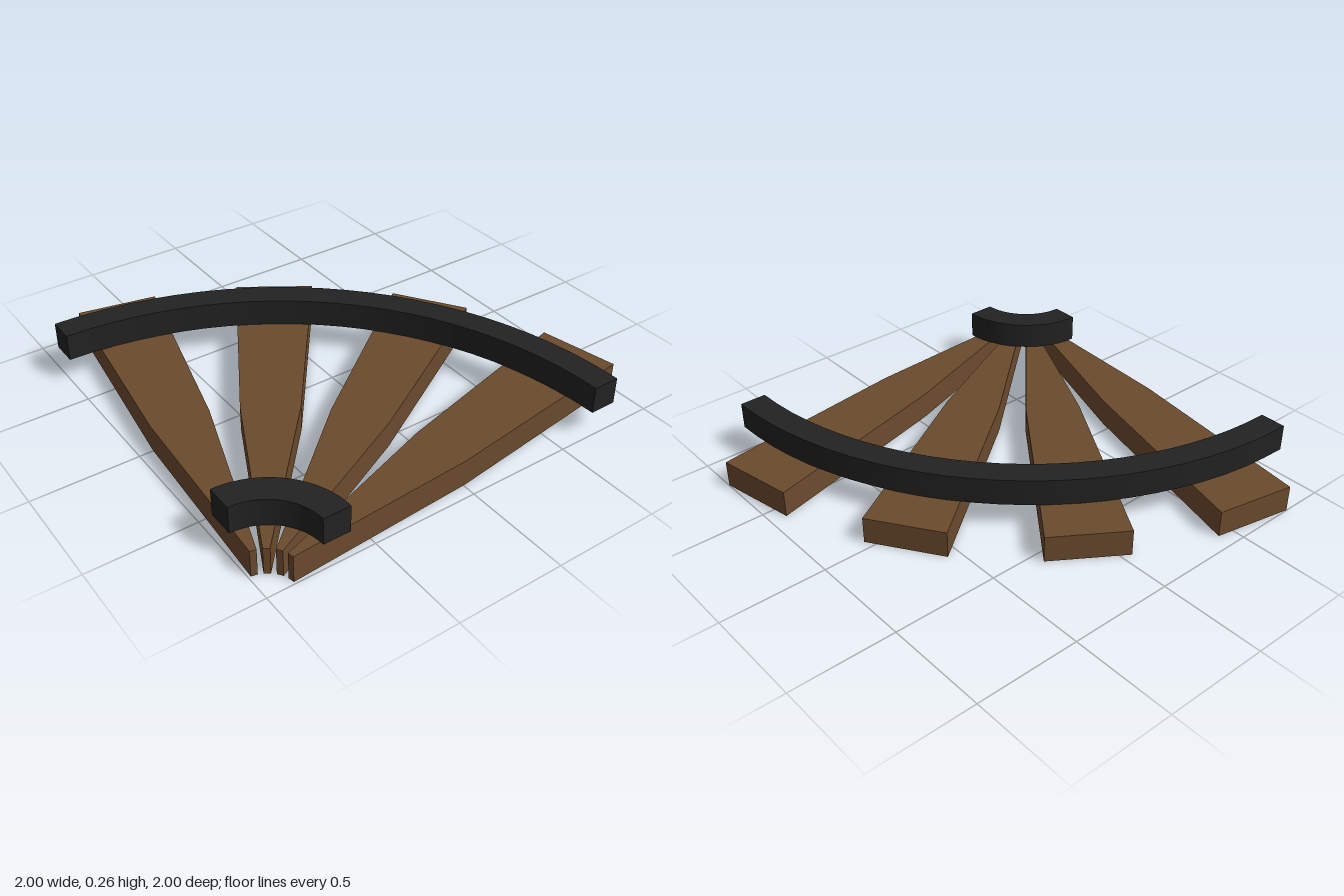
import * as THREE from 'three';

const H = 0.128; // thickness of every layer

// Extrude a plan outline upward from y = 0 (shape y runs towards -z)
function slab(shape) {
  const geo = new THREE.ExtrudeGeometry(shape, { depth: H, bevelEnabled: false, curveSegments: 12 });
  return geo.rotateX(-Math.PI / 2);
}

export function createModel() {
  const wood = new THREE.MeshStandardMaterial({ color: 0x6b4a2d });
  wood.name = 'brown wood';
  const iron = new THREE.MeshStandardMaterial({ color: 0x222222 });
  iron.name = 'black iron';
  for (const m of [wood, iron]) m.flatShading = true;

  const model = new THREE.Group();
  model.name = 'quarterFan';

  // Tapered planks fanning out from the corner: [distance, half width]
  const profile = [[0.127, 0.014], [1.0, 0.132], [2.0, 0.19]];
  const outline = [
    ...profile.map(([r, w]) => new THREE.Vector2(r, -w)),
    ...profile.map(([r, w]) => new THREE.Vector2(r, w)).reverse(),
  ];
  const plankGeo = slab(new THREE.Shape(outline));
  for (let i = 0; i < 4; i++) {
    const plank = new THREE.Mesh(plankGeo, wood);
    plank.name = `plank${i + 1}`;
    plank.rotation.y = ((i + 0.5) * Math.PI) / 8;
    model.add(plank);
  }

  // Quarter-circle bands lying on the planks
  function band(name, inner, outer) {
    const shape = new THREE.Shape();
    shape.absarc(0, 0, outer, 0, Math.PI / 2, false);
    shape.absarc(0, 0, inner, Math.PI / 2, 0, true);
    const mesh = new THREE.Mesh(slab(shape), iron);
    mesh.name = name;
    mesh.position.y = H;
    model.add(mesh);
  }
  band('innerBand', 0.254, 0.381);
  band('outerBand', 1.655, 1.782);

  // Put the fan's corner at the front right
  for (const part of model.children) {
    part.position.x -= 1;
    part.position.z += 1;
  }
  return model;
}
